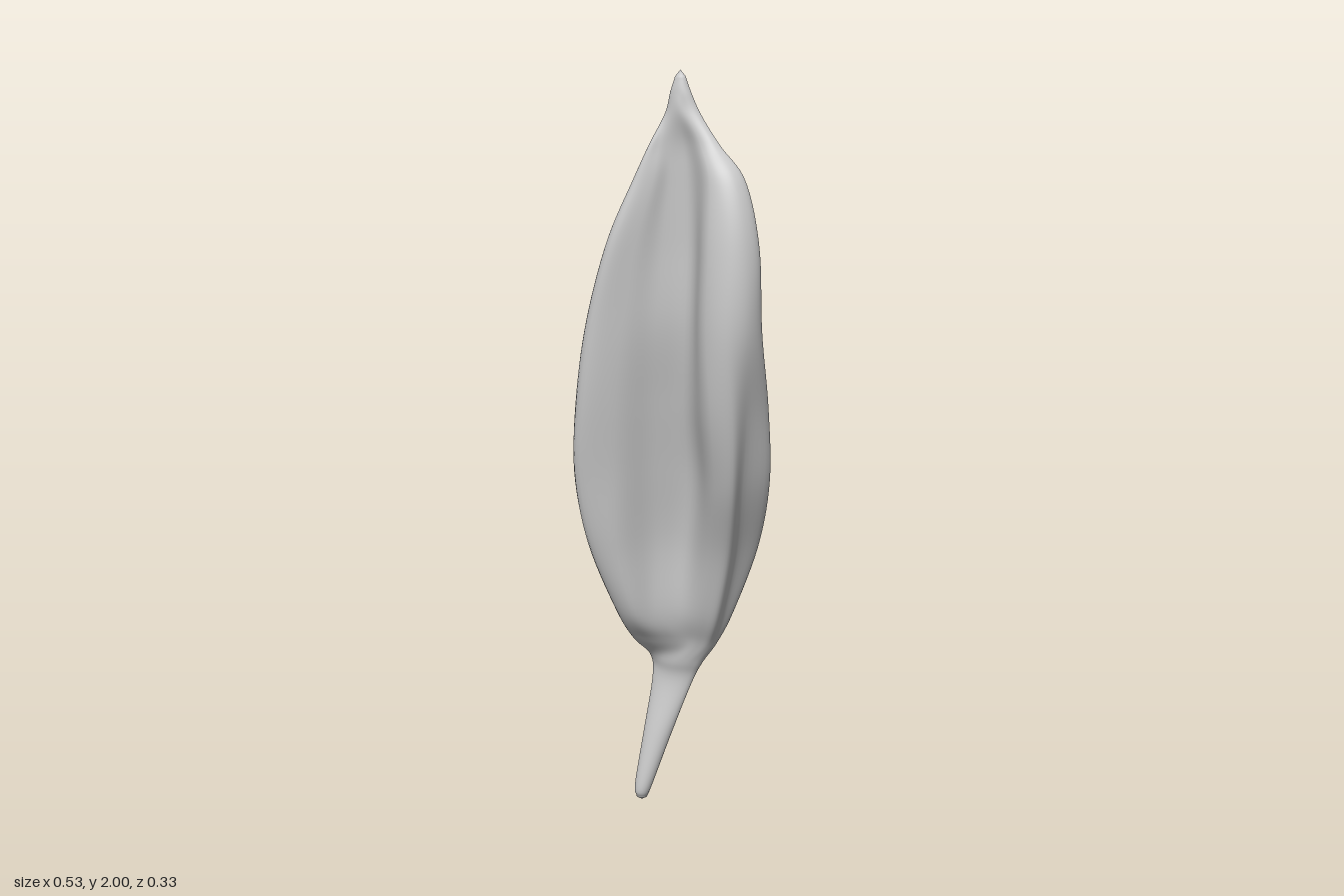
import * as THREE from 'three';

const RINGS = 110; // cross-sections from stem to tip
const N = 72;      // points around each cross-section

// Folded front of the blade: height, then x,z of
// right lip, right ridge, groove, centre, inner left lip, outer left lip, flank dent
const fronts = [
  [0.5, -0.165, -0.06, -0.12, -0.06, -0.06, -0.08, -0.02, -0.094, 0.015, -0.096, 0.04, -0.1, 0.052, -0.112],
  [0.6, -0.185, 0, -0.13, 0.01, -0.08, -0.03, -0.02, -0.06, 0.045, -0.055, 0.085, -0.058, 0.095, -0.09],
  [0.8, -0.225, 0.07, -0.15, 0.06, -0.075, -0.02, 0, -0.05, 0.09, 0, 0.142, 0, 0.152, -0.045],
  [1.0, -0.235, 0.112, -0.14, 0.085, -0.06, 0.01, 0.03, -0.02, 0.13, 0.076, 0.188, 0.078, 0.197, 0.03],
  [1.2, -0.205, 0.14, -0.12, 0.11, -0.04, 0.045, 0.04, 0.025, 0.143, 0.133, 0.208, 0.13, 0.228, 0.08],
  [1.4, -0.165, 0.15, -0.09, 0.125, -0.02, 0.08, 0.06, 0.06, 0.14, 0.152, 0.205, 0.163, 0.248, 0.132],
  [1.6, -0.105, 0.15, -0.05, 0.125, 0, 0.085, 0.07, 0.068, 0.145, 0.15, 0.205, 0.157, 0.243, 0.135],
  [1.75, -0.05, 0.125, -0.01, 0.11, 0.02, 0.085, 0.07, 0.075, 0.14, 0.13, 0.175, 0.135, 0.207, 0.12],
  [1.83, -0.02, 0.108, 0, 0.1, 0.025, 0.088, 0.06, 0.08, 0.105, 0.1, 0.125, 0.102, 0.142, 0.096],
];

// Rounded back of the blade: x,z of left shoulder, left back, spine, right back, right shoulder
const backs = [
  [0.057, -0.128, 0.02, -0.155, -0.05, -0.163, -0.13, -0.15, -0.178, -0.1],
  [0.107, -0.122, 0.06, -0.152, -0.03, -0.156, -0.15, -0.14, -0.205, -0.06],
  [0.182, -0.108, 0.115, -0.133, 0, -0.132, -0.16, -0.105, -0.25, -0.01],
  [0.236, -0.048, 0.155, -0.09, 0.02, -0.1, -0.15, -0.053, -0.265, 0.035],
  [0.252, 0.008, 0.18, -0.04, 0.05, -0.05, -0.115, 0.008, -0.24, 0.08],
  [0.261, 0.078, 0.2, 0.02, 0.08, 0.012, -0.08, 0.06, -0.195, 0.11],
  [0.258, 0.095, 0.2, 0.043, 0.09, 0.03, -0.03, 0.065, -0.13, 0.12],
  [0.219, 0.09, 0.16, 0.05, 0.08, 0.036, 0, 0.055, -0.064, 0.105],
  [0.15, 0.083, 0.11, 0.057, 0.07, 0.045, 0.015, 0.06, -0.028, 0.09],
];

// Oval cross-section with points in the same order as the blade's
const ANGLES = [7 / 8, 6 / 8, 5 / 8, 4 / 8, 3 / 8, 2 / 8, 1 / 8, 0, -1 / 4, -1 / 2, -3 / 4, -1];
const oval = (y, x, rx, z, rz) => ANGLES.map(a =>
  new THREE.Vector3(x + rx * Math.cos(a * Math.PI), y, z + rz * Math.sin(a * Math.PI)));

const blade = fronts.map(([y, ...front], i) => {
  const xz = [...front, ...backs[i]];
  return ANGLES.map((_, k) => new THREE.Vector3(xz[2 * k], y, xz[2 * k + 1]));
});

const sections = [
  // stem
  oval(0.01, -0.155, 0.015, -0.085, 0.015),
  oval(0.05, -0.149, 0.025, -0.086, 0.025),
  oval(0.2, -0.12, 0.041, -0.115, 0.031),
  oval(0.36, -0.085, 0.06, -0.138, 0.024),
  oval(0.43, -0.07, 0.08, -0.134, 0.029),
  ...blade,
  // tip
  oval(1.9, 0.05, 0.046, 0.075, 0.022),
  oval(1.95, 0.046, 0.026, 0.078, 0.017),
  oval(1.985, 0.046, 0.013, 0.08, 0.009),
];

function leafGeometry() {
  // Lengthwise guide curves, with a closed loop across them at each step
  const guides = ANGLES.map((_, k) =>
    new THREE.CatmullRomCurve3(sections.map(s => s[k]), false, 'catmullrom'));
  const pos = [], index = [];
  for (let i = 0; i <= RINGS; i++) {
    const ring = new THREE.CatmullRomCurve3(guides.map(g => g.getPoint(i / RINGS)), true);
    for (let j = 0; j < N; j++) pos.push(...ring.getPoint(j / N).toArray());
  }
  for (let i = 0; i < RINGS; i++) {
    for (let j = 0; j < N; j++) {
      const a = i * N + j, b = i * N + (j + 1) % N;
      index.push(a, b, b + N, a, b + N, a + N);
    }
  }
  // Stem end and pointed tip
  const foot = pos.length / 3, tip = foot + 1, top = RINGS * N;
  pos.push(-0.155, 0, -0.085, 0.046, 2, 0.08);
  for (let j = 0; j < N; j++) {
    const k = (j + 1) % N;
    index.push(k, j, foot, top + j, top + k, tip);
  }
  const geo = new THREE.BufferGeometry();
  geo.setAttribute('position', new THREE.Float32BufferAttribute(pos, 3));
  geo.setIndex(index);
  geo.computeVertexNormals();
  return geo;
}

export function createModel() {
  const group = new THREE.Group();
  group.name = 'curledLeaf';
  const leaf = new THREE.Mesh(leafGeometry(), new THREE.MeshStandardMaterial({ color: 0xcccccc }));
  leaf.name = 'leafBladeAndStem';
  group.add(leaf);
  return group;
}
